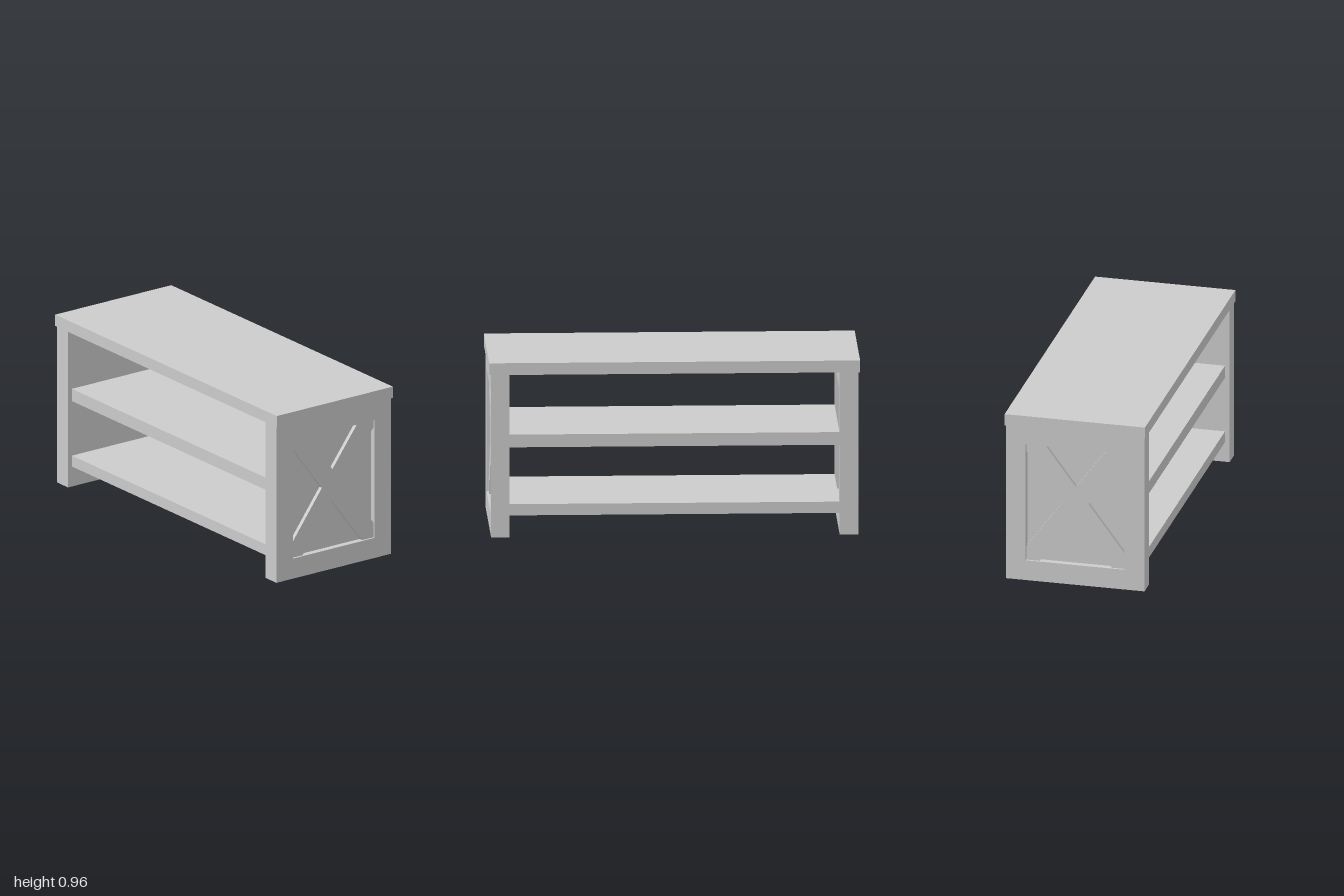
import * as THREE from 'three';

const material = new THREE.MeshStandardMaterial({ color: 0xcccccc });

function add(parent, name, geometry, x = 0, y = 0, z = 0) {
  const mesh = new THREE.Mesh(geometry, material);
  mesh.name = name;
  mesh.position.set(x, y, z);
  parent.add(mesh);
  return mesh;
}

// Box spanning the given height, centred on x and z
function board(parent, name, halfX, y0, y1, halfZ) {
  add(parent, name, new THREE.BoxGeometry(halfX * 2, y1 - y0, halfZ * 2), 0, (y0 + y1) / 2);
}

const outline = (points) => points.map(([x, y]) => new THREE.Vector2(x, y));
const slab = (shape, depth) => new THREE.ExtrudeGeometry(shape, { depth, bevelEnabled: false });

const W = 0.385, H = 0.895; // end frame half width and height
const OX = 0.275, OY0 = 0.115, OY1 = 0.79; // frame opening

// End wall facing +z: frame, recessed panel and crossed braces
function createEnd(name) {
  const end = new THREE.Group();
  end.name = name;

  const frame = new THREE.Shape(outline([[-W, 0], [W, 0], [W, H], [-W, H]]));
  frame.holes.push(new THREE.Path(outline([[-OX, OY0], [-OX, OY1], [OX, OY1], [OX, OY0]])));
  add(end, 'endFrame', slab(frame, 0.1), 0, 0, 0.89);

  add(end, 'endPanel', new THREE.BoxGeometry(OX * 2, OY1 - OY0, 0.045), 0, (OY0 + OY1) / 2, 0.9325);

  const cross = new THREE.Shape(outline([
    [-OX, OY0], [-0.2, OY0], [0, 0.38], [0.2, OY0], [OX, OY0], [OX, 0.2],
    [0.07, 0.473], [OX, 0.745], [OX, OY1], [0.168, OY1], [0, 0.565],
    [-0.168, OY1], [-OX, OY1], [-OX, 0.75], [-0.07, 0.473], [-OX, 0.195],
  ]));
  add(end, 'crossBrace', slab(cross, 0.025), 0, 0, 0.953);
  return end;
}

export function createModel() {
  const model = new THREE.Group();
  model.name = 'consoleTable';

  board(model, 'tabletop', 0.39, H, 0.96, 1);
  board(model, 'middleShelf', 0.36, 0.49, 0.56, 0.89);
  board(model, 'lowerShelf', 0.36, 0.115, 0.177, 0.89);

  const back = createEnd('backEnd');
  back.rotation.y = Math.PI;
  model.add(createEnd('frontEnd'), back);
  return model;
}
